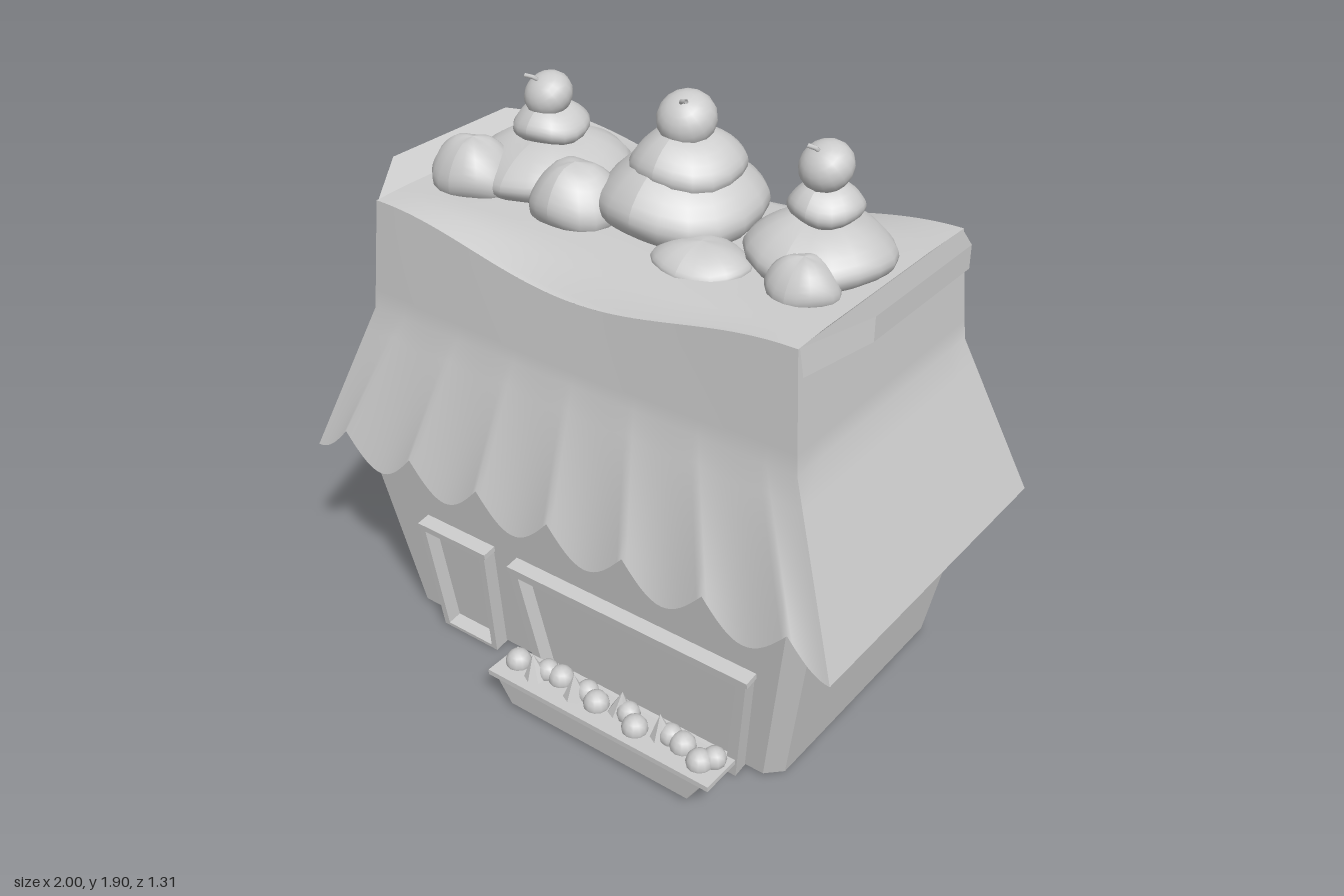
import * as THREE from 'three';

const grey = new THREE.MeshStandardMaterial({ color: 0xcccccc, side: THREE.DoubleSide });
const flat = new THREE.MeshStandardMaterial({ color: 0xcccccc, flatShading: true });
const lerp = THREE.MathUtils.lerp;

function add(parent, name, geo, mat = grey, x = 0, y = 0, z = 0) {
  const m = new THREE.Mesh(geo, mat);
  m.name = name;
  m.position.set(x, y, z);
  parent.add(m);
  return m;
}

// Faceted body between two matching rings, counter-clockwise as seen from ring b
function loft(a, b, capped = true) {
  const p = [], n = a.length;
  for (let i = 0; i < n; i++) {
    const j = (i + 1) % n;
    p.push(a[i], a[j], b[j], a[i], b[j], b[i]);
    if (capped && i > 0 && i < n - 1) p.push(b[0], b[i], b[i + 1], a[0], a[i + 1], a[i]);
  }
  const g = new THREE.BufferGeometry();
  g.setAttribute('position', new THREE.Float32BufferAttribute(p.flat(), 3));
  g.computeVertexNormals();
  return g;
}

// Horizontal rectangle ring with cut corners
function ring(x0, x1, z0, z1, y, c) {
  return [[x1, z1 - c], [x1, z0 + c], [x1 - c, z0], [x0 + c, z0], [x0, z0 + c], [x0, z1 - c],
    [x0 + c, z1], [x1 - c, z1]].map(([x, z]) => [x, y, z]);
}

// Smooth sheet from a rule f(u, v) with u, v in 0..1
function sheet(nu, nv, f) {
  const pos = [], idx = [], w = nu + 1;
  for (let j = 0; j <= nv; j++) for (let i = 0; i <= nu; i++) pos.push(...f(i / nu, j / nv));
  for (let j = 0; j < nv; j++) for (let i = 0; i < nu; i++) {
    const a = j * w + i;
    idx.push(a, a + 1, a + w + 1, a, a + w + 1, a + w);
  }
  const g = new THREE.BufferGeometry();
  g.setAttribute('position', new THREE.Float32BufferAttribute(pos, 3));
  g.setIndex(idx);
  g.computeVertexNormals();
  return g;
}

// Piecewise value: hem, waist, top of the awning
const three = (v, a, b, c) => (v < 0.5 ? lerp(a, b, v * 2) : lerp(b, c, v * 2 - 1));
const rimY = (x) => 1.49 - (Math.abs(x) < 0.75 ? 0.107 * Math.cos(Math.PI * x / 1.5) ** 2 : 0);

function addAwning(root) {
  const panel = (dir, zHem, zWaist, zTop) => sheet(112, 12, (u, v) => {
    const s = (2 * u - 1) * dir;
    const x = s * three(v, 1, 0.79, 0.76);
    const cusp = 1 - Math.abs(Math.sin(Math.PI * s * 3.5));
    return [x, three(v, 0.585 + 0.105 * cusp, 1.12, rimY(x)), three(v, zHem, zWaist, zTop)];
  });
  add(root, 'frontAwning', panel(1, 0.53, 0.41, 0.39));
  add(root, 'backAwning', panel(-1, -0.655, -0.535, -0.51));
  for (const side of [1, -1]) {
    add(root, side > 0 ? 'leftAwning' : 'rightAwning', sheet(8, 12, (u, v) => {
      const t = side > 0 ? u : 1 - u;
      return [side * three(v, 1, 0.79, 0.76), three(v, 0.585, 1.12, 1.49),
        lerp(three(v, 0.53, 0.41, 0.39), three(v, -0.655, -0.535, -0.51), t)];
    }));
  }
}

function addRoofDeck(root) {
  // Level middle easing down to the sagging front and back rims
  const rows = [[0.39, 0], [0.375, 0.1], [0.32, 0.6], [0.25, 1], [-0.06, 1], [-0.3, 1], [-0.4, 0.55], [-0.495, 0.06], [-0.51, 0]];
  add(root, 'roofDeck', sheet(40, 8, (u, v) => {
    const x = lerp(-0.76, 0.76, u), [z, w] = rows[Math.round(v * 8)];
    return [x, lerp(rimY(x), 1.495, w), z];
  }));
  // Upturned ends
  const inner = [[0.755, 1.39, -0.51], [0.755, 1.487, -0.51], [0.755, 1.487, 0.39], [0.755, 1.39, 0.39]];
  const outer = [[0.873, 1.465, -0.33], [0.873, 1.54, -0.33], [0.873, 1.54, 0.2], [0.873, 1.465, 0.2]];
  for (const side of [1, -1]) {
    add(root, side > 0 ? 'leftRoofLip' : 'rightRoofLip', loft(inner, outer), flat).scale.x = side;
  }
}

// Leaning tapered frame with an opening, set through the wall
function addFrame(root, name, top, bottom, height, bar) {
  const trace = (s, d) => {
    s.moveTo(bottom[0] + d, d * 0.6);
    s.lineTo(bottom[1] - d, d * 0.6);
    s.lineTo(top[1] - d, height - d * 0.6);
    s.lineTo(top[0] + d, height - d * 0.6);
    s.closePath();
    return s;
  };
  const shape = trace(new THREE.Shape(), 0);
  shape.holes.push(trace(new THREE.Path(), bar));
  const geo = new THREE.ExtrudeGeometry(shape, { depth: 0.09, bevelEnabled: false });
  add(root, name, geo, flat, 0, 0.012, 0.37).rotation.x = 0.13;
  add(root, name + 'Header', new THREE.BoxGeometry(top[1] - top[0] + 0.01, 0.02, 0.06), flat,
    (top[0] + top[1]) / 2, 0.432, 0.486).rotation.x = 0.13;
}

// Rounded heap turned from a profile, gently uneven
function heap(r, h, seed) {
  const profile = [[0.001, 0], [0.6, 0.03], [0.92, 0.2], [1, 0.38], [0.93, 0.56], [0.72, 0.78], [0.4, 0.95], [0.001, 1]];
  const curve = new THREE.SplineCurve(profile.map(([a, b]) => new THREE.Vector2(a * r, b * h)));
  const g = new THREE.LatheGeometry(curve.getPoints(14).map((p) => p.setX(Math.max(p.x, 0))), 18);
  const p = g.attributes.position;
  for (let i = 0; i < p.count; i++) {
    const a = Math.atan2(p.getX(i), p.getZ(i));
    const k = Math.hypot(p.getX(i), p.getZ(i)) / r;
    p.setY(i, p.getY(i) + h * 0.06 * k * Math.sin(3 * a + seed));
  }
  g.computeVertexNormals();
  return g;
}

function addTopping(root) {
  // x, base radius, base top, collar radius, collar bottom, collar top, cherry x, cherry y, cherry radius, stem lean
  const scoops = [
    [-0.44, 0.25, 1.65, 0.12, 1.625, 1.75, -0.44, 1.77, 0.078, -0.4],
    [0.06, 0.26, 1.72, 0.175, 1.61, 1.79, 0.08, 1.815, 0.09, 0.3],
    [0.54, 0.22, 1.65, 0.11, 1.625, 1.75, 0.55, 1.79, 0.08, -0.25],
  ];
  const z = -0.065;
  scoops.forEach(([x, r, top, cr, low, cTop, cx, cy, rr, lean], i) => {
    const g = new THREE.Group();
    g.name = 'creamScoop' + (i + 1);
    root.add(g);
    add(g, 'creamBase', heap(r, top - 1.46, i * 2), grey, x, 1.46, z);
    add(g, 'creamCollar', heap(cr, cTop - low, i + 1), grey, cx, low, z);
    const cherry = new THREE.Group();
    cherry.name = 'cherry';
    cherry.position.set(cx, cy, z + 0.01);
    cherry.rotation.set(0.6, 0, -lean * 0.5);
    g.add(cherry);
    add(cherry, 'cherryFruit', new THREE.SphereGeometry(rr, 16, 12)).scale.y = 0.85;
    const stem = new THREE.CatmullRomCurve3([[0, rr * 0.7, 0], [0, rr * 0.92, 0], [lean * 0.08, rr + 0.01, 0.005]]
      .map((q) => new THREE.Vector3(...q)));
    add(cherry, 'cherryStem', new THREE.TubeGeometry(stem, 4, 0.007, 6));
  });
  // Small dollops along the front: x, z, half width, half depth, top
  [[-0.6, 0.12, 0.145, 0.12, 1.65], [-0.21, 0.1, 0.15, 0.135, 1.66], [0.27, 0.13, 0.155, 0.13, 1.555],
    [0.6, 0.12, 0.11, 0.095, 1.6]].forEach(([dx, dz, w, d, top], i) => {
    add(root, 'dollop' + (i + 1), heap(1, 1, i * 1.7), grey, dx, 1.45, dz).scale.set(w, top - 1.45, d);
  });
}

function addProduceTray(root) {
  const tray = new THREE.Group();
  tray.name = 'produceTray';
  root.add(tray);
  add(tray, 'trayBox', loft(ring(-0.08, 0.61, 0.535, 0.64, 0.02, 0.002), ring(-0.13, 0.67, 0.525, 0.65, 0.115, 0.002)), flat);
  add(tray, 'trayRim', new THREE.BoxGeometry(0.85, 0.018, 0.14), flat, 0.27, 0.122, 0.588);
  // Alternating round and pointed goods
  for (let i = 0; i < 10; i++) {
    const x = -0.1 + i * 0.08, z = 0.575 + 0.02 * Math.sin(i * 2.3);
    if (i % 2 && i < 8) add(tray, 'pointedGood', new THREE.ConeGeometry(0.045, 0.1, 7), flat, x, 0.165, z).rotation.z = 0.12 * Math.sin(i);
    else add(tray, 'roundGood', new THREE.SphereGeometry(0.042, 12, 8), grey, x, 0.14, z);
    if (i % 2) add(tray, 'backGood', new THREE.SphereGeometry(0.038, 10, 8), grey, x + 0.03, 0.145, 0.56);
  }
}

export function createModel() {
  const root = new THREE.Group();
  root.name = 'dessertShop';
  // Open-ended walls flare outward toward the awning
  add(root, 'walls', loft(ring(-0.72, 0.775, -0.53, 0.41, 0.012, 0.048), ring(-0.845, 0.893, -0.61, 0.5, 0.68, 0.055), false));
  addFrame(root, 'doorFrame', [-0.565, -0.285], [-0.54, -0.305], 0.43, 0.022);
  addFrame(root, 'windowFrame', [-0.18, 0.72], [-0.13, 0.66], 0.43, 0.035);
  addAwning(root);
  addRoofDeck(root);
  addTopping(root);
  addProduceTray(root);
  return root;
}
